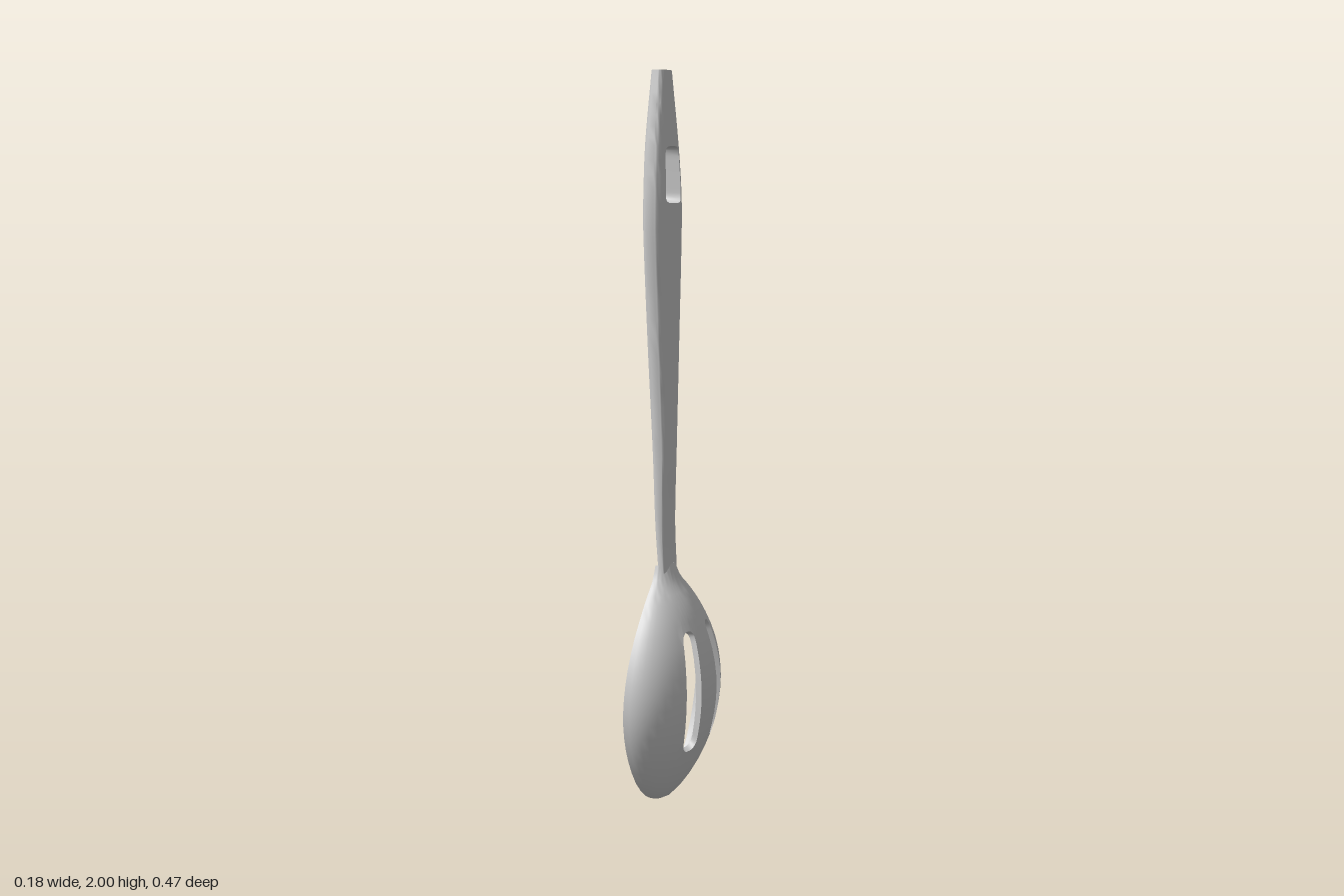
import * as THREE from 'three';
import { toCreasedNormals } from 'three/addons/utils/BufferGeometryUtils.js';

// Smooth interpolation through rows [y, a, b, ...]; returns y => [a, b, ...]
function track(rows) {
  const slope = (i, k) => {
    const a = rows[Math.max(i - 1, 0)], b = rows[Math.min(i + 1, rows.length - 1)];
    return (b[k] - a[k]) / (b[0] - a[0]);
  };
  return (y) => {
    let i = 0;
    while (i < rows.length - 2 && y > rows[i + 1][0]) i++;
    const p = rows[i], q = rows[i + 1], h = q[0] - p[0];
    const t = THREE.MathUtils.clamp((y - p[0]) / h, 0, 1), t2 = t * t, t3 = t2 * t;
    return p.slice(1).map((_, n) => {
      const k = n + 1;
      return (2 * t3 - 3 * t2 + 1) * p[k] + (t3 - 2 * t2 + t) * h * slope(i, k)
        + (3 * t2 - 2 * t3) * q[k] + (t3 - t2) * h * slope(i + 1, k);
    });
  };
}

// Columns bunched toward both ends of a slot
const slotColumns = (u0, u1, n) => Array.from({ length: n + 1 },
  (_, i) => (u0 + u1) / 2 - (u1 - u0) / 2 * Math.cos(Math.PI * i / n));

const steps = (a, b, n) => Array.from({ length: n + 1 }, (_, i) => a + (b - a) * i / n);

// Solid between two skins over a (u, y) grid; slots are cut through with rounded ends,
// and every open edge gets a wall joining the skins
function shell(front, back, us, ys, slots) {
  const e = 1e-6, nu = us.length, ny = ys.length, pos = [], idx = [];
  for (const skin of [front, back]) {
    for (const row of ys) for (const u of us) {
      let y = row;
      for (const s of slots) {
        if (u < s.u0 - e || u > s.u1 + e) continue;
        const t = Math.min(1, Math.abs((2 * u - s.u0 - s.u1) / (s.u1 - s.u0)));
        const d = s.r * (1 - Math.pow(1 - Math.pow(t, s.p), 1 / s.p));
        if (Math.abs(row - s.y0) < e) y += d;
        if (Math.abs(row - s.y1) < e) y -= d;
      }
      pos.push(...skin(u, y));
    }
  }
  const kept = (j, i) => {
    if (j < 0 || i < 0 || j >= ny - 1 || i >= nu - 1) return false;
    const u = (us[i] + us[i + 1]) / 2, y = (ys[j] + ys[j + 1]) / 2;
    return !slots.some((s) => u > s.u0 && u < s.u1 && y > s.y0 && y < s.y1);
  };
  const o = nu * ny;
  for (let j = 0; j < ny - 1; j++) for (let i = 0; i < nu - 1; i++) {
    if (!kept(j, i)) continue;
    const a = j * nu + i, b = a + nu, c = b + 1, d = a + 1;
    idx.push(a, b, c, a, c, d, o + a, o + c, o + b, o + a, o + d, o + c);
    const wall = (p, q) => idx.push(q, p, o + p, q, o + p, o + q);
    if (!kept(j, i - 1)) wall(a, b);
    if (!kept(j + 1, i)) wall(b, c);
    if (!kept(j, i + 1)) wall(c, d);
    if (!kept(j - 1, i)) wall(d, a);
  }
  const geo = new THREE.BufferGeometry();
  geo.setAttribute('position', new THREE.Float32BufferAttribute(pos, 3));
  geo.setIndex(idx);
  return toCreasedNormals(geo, 0.75);
}

export function createModel() {
  const group = new THREE.Group();
  const material = new THREE.MeshStandardMaterial({ color: 0xcccccc });
  const add = (name, geo) => {
    const mesh = new THREE.Mesh(geo, material);
    mesh.name = name;
    group.add(mesh);
  };

  // Bowl: half width and depth along its height, hollow toward -x, with two slots
  const rimX = -0.06;
  const width = track([[0, 0.02], [0.01, 0.06], [0.04, 0.11], [0.1, 0.165], [0.2, 0.215], [0.3, 0.235],
    [0.4, 0.222], [0.5, 0.178], [0.6, 0.105], [0.65, 0.06], [0.69, 0.042]]);
  const depth = track([[0, 0.02], [0.04, 0.055], [0.1, 0.092], [0.2, 0.132], [0.33, 0.15], [0.45, 0.137],
    [0.55, 0.103], [0.6, 0.077], [0.64, 0.05], [0.69, 0.033]]);
  const arch = (u) => Math.pow(Math.max(0, 1 - Math.pow(Math.abs(u), 1.6)), 0.44);
  const outer = (u, y) => [rimX + depth(y)[0] * arch(u), y, u * width(y)[0]];
  const inner = (u, y) => {
    const fade = 1 - THREE.MathUtils.smoothstep(y, 0.55, 0.68);
    return [rimX + depth(y)[0] * arch(u) * 0.87 * fade, 0.33 + (y - 0.33) * 0.955,
      u * width(y)[0] * 0.93 * (0.4 + 0.6 * fade)];
  };
  const half = [...slotColumns(0.21, 0.47, 10), 0.56, 0.66, 0.75, 0.83, 0.9, 0.95, 0.98, 0.995, 1];
  const bowlU = [...half.map((u) => -u).reverse(), -0.1, 0, 0.1, ...half];
  const bowlY = [0, 0.004, 0.01, 0.02, 0.04, 0.065, 0.1, 0.14, ...steps(0.18, 0.52, 9), ...steps(0.54, 0.69, 8)];
  const bowlSlot = { y0: 0.18, y1: 0.52, r: 0.03, p: 2.4 };
  add('slottedBowl', shell(outer, inner, bowlU, bowlY, [
    { u0: 0.21, u1: 0.47, ...bowlSlot }, { u0: -0.47, u1: -0.21, ...bowlSlot }]));

  // Handle: half width, back x and front x along its height, with a hanging hole
  const grip = track([[0.66, 0.041, -0.059, -0.027], [0.8, 0.041, -0.07, -0.031], [1, 0.043, -0.078, -0.025],
    [1.3, 0.06, -0.087, -0.022], [1.6, 0.077, -0.092, -0.02], [1.7, 0.074, -0.092, -0.02],
    [1.82, 0.062, -0.09, -0.025], [2, 0.032, -0.08, -0.035]]);
  const side = (sign) => (u, y) => {
    const [hz, back, front] = grip(y);
    const f = 0.28 + 0.72 * Math.sqrt(Math.max(0, 1 - u * u));
    return [(back + front) / 2 + sign * f * (front - back) / 2, y, u * hz];
  };
  const edge = [0.68, 0.78, 0.87, 0.94, 0.98, 1];
  const gripU = [...edge.map((u) => -u).reverse(), ...slotColumns(-0.58, 0.58, 12), ...edge];
  const gripY = [...steps(0.66, 1.6, 20), ...steps(1.665, 1.81, 4), ...steps(1.83, 2, 6)];
  add('handle', shell(side(1), side(-1), gripU, gripY, [
    { u0: -0.58, u1: 0.58, y0: 1.665, y1: 1.81, r: 0.025, p: 4 }]));

  return group;
}
